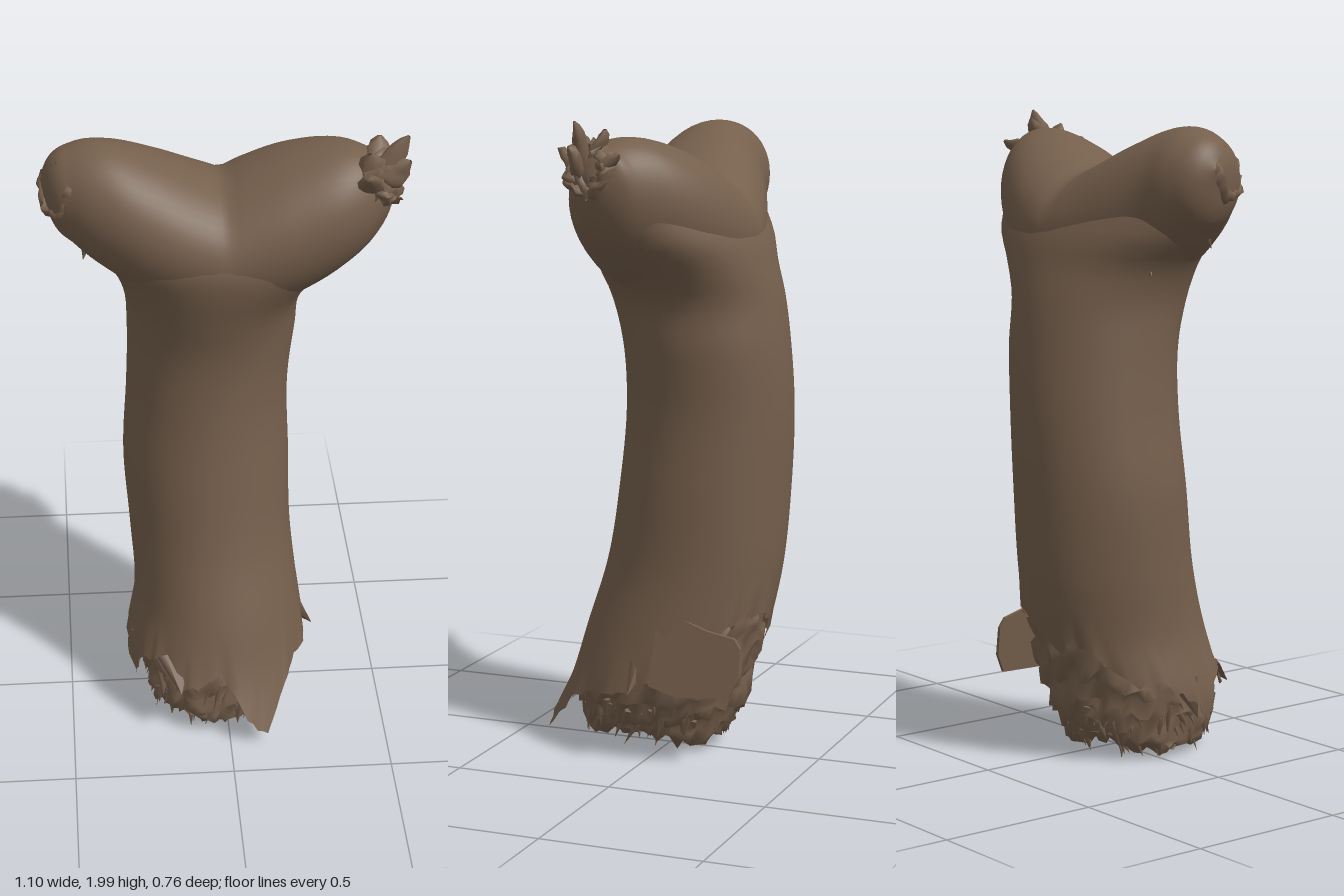
import * as THREE from 'three';
import { mergeGeometries } from 'three/addons/utils/BufferGeometryUtils.js';

const V = (x, y, z) => new THREE.Vector3(x, y, z);

function seeded(seed) {
  let s = seed;
  return () => ((s = (s * 16807) % 2147483647) / 2147483647);
}

// Smooth sampler for rows of [t, aMin, aMax, bMin, bMax]
function sampler(rows) {
  const f = new THREE.CubicInterpolant(rows.map(r => r[0]), rows.flatMap(r => r.slice(1)), 4, new Float32Array(4));
  return t => Array.from(f.evaluate(t));
}

// Closed rings joined into a skin; point(u, angle, i, j) gives each corner
function skin(rings, sides, point) {
  const pos = [], index = [];
  for (let i = 0; i <= rings; i++) {
    for (let j = 0; j < sides; j++) {
      pos.push(...point(i / rings, (j / sides) * Math.PI * 2, i, j).toArray());
      if (i === rings) continue;
      const a = i * sides + j, b = i * sides + (j + 1) % sides;
      index.push(a, a + sides, b, b, a + sides, b + sides);
    }
  }
  const g = new THREE.BufferGeometry();
  g.setAttribute('position', new THREE.Float32BufferAttribute(pos, 3));
  g.setIndex(index);
  g.computeVertexNormals();
  return g;
}

// Point on an ellipse bounded by [aMin, aMax, bMin, bMax]
function oval([a0, a1, b0, b1], angle, scale = 1) {
  return [(a0 + a1) / 2 + (a1 - a0) / 2 * scale * Math.cos(angle),
    (b0 + b1) / 2 + (b1 - b0) / 2 * scale * Math.sin(angle)];
}

// Turn a part built along +y so that it reaches from one point to another
function aim(g, from, to) {
  const dir = to.clone().sub(from).normalize();
  g.applyQuaternion(new THREE.Quaternion().setFromUnitVectors(V(0, 1, 0), dir));
  return g.translate(from.x, from.y, from.z);
}

// Pointed sliver
function sliver(from, to, width, depth) {
  const len = to.distanceTo(from);
  return aim(new THREE.ConeGeometry(1, 1, 5).translate(0, 0.5, 0).scale(width, len, depth), from, to);
}

export function createModel() {
  const group = new THREE.Group();
  const brown = new THREE.MeshStandardMaterial({ color: 0x755f4c, side: THREE.DoubleSide });
  const rand = seeded(71);
  const jitter = size => (rand() - 0.5) * size;
  const add = (name, geometry) => {
    const mesh = new THREE.Mesh(geometry, brown);
    mesh.name = name;
    group.add(mesh);
  };

  // Trunk: rows of y, x range, z range; the lower edge is torn
  const trunk = sampler([
    [0.03, -0.28, 0.25, -0.2, 0.42], [0.2, -0.31, 0.26, -0.25, 0.335], [0.4, -0.285, 0.24, -0.31, 0.27],
    [0.6, -0.295, 0.22, -0.35, 0.21], [0.85, -0.31, 0.215, -0.37, 0.17], [1.1, -0.295, 0.21, -0.38, 0.145],
    [1.3, -0.29, 0.23, -0.37, 0.15], [1.45, -0.3, 0.25, -0.35, 0.185], [1.55, -0.34, 0.33, -0.325, 0.212],
    [1.63, -0.41, 0.41, -0.3, 0.217], [1.72, -0.44, 0.44, -0.25, 0.175],
  ]);
  const torn = [0.24, 0.21, 0.23, 0.16, 0.045, 0.1, 0.26, 0.2, 0.19, 0.25, 0.23, 0.14,
    0.2, 0.26, 0.25, 0.33, 0.39, 0.36, 0.42, 0.46, 0.47, 0.42, 0.36, 0.27];
  const SIDES = 96;
  const nick = Array.from({ length: SIDES }, () => jitter(0.03));
  add('trunk', skin(48, SIDES, (u, angle, i, j) => {
    const k = j / SIDES * torn.length, n = Math.floor(k);
    const edge = THREE.MathUtils.lerp(torn[n], torn[(n + 1) % torn.length], k - n) + nick[j];
    const y = THREE.MathUtils.lerp(Math.max(edge, 0.035), 1.72, Math.pow(u, 1.2));
    const [x, z] = oval(trunk(y), angle, 1 + nick[j] * 2 * Math.max(0, 1 - u * 8));
    return V(x, y, z);
  }));

  // Forked top: rows of x, z range, y range
  const fork = sampler([
    [-0.537, -0.06, -0.03, 1.82, 1.85], [-0.515, -0.11, 0.04, 1.73, 1.9], [-0.44, -0.165, 0.115, 1.64, 1.95],
    [-0.34, -0.19, 0.165, 1.56, 1.96], [-0.2, -0.245, 0.2, 1.47, 1.915], [-0.05, -0.29, 0.213, 1.42, 1.848],
    [0, -0.295, 0.215, 1.42, 1.83], [0.05, -0.295, 0.215, 1.42, 1.855], [0.2, -0.265, 0.21, 1.46, 1.918],
    [0.36, -0.175, 0.18, 1.565, 1.945], [0.45, -0.085, 0.13, 1.66, 1.92], [0.49, -0.04, 0.1, 1.74, 1.9],
    [0.51, 0.02, 0.05, 1.81, 1.84],
  ]);
  add('forkedTop', skin(64, 48, (u, angle) => {
    const x = -0.0135 - 0.5235 * Math.cos(u * Math.PI);
    const [z, y] = oval(fork(x), angle);
    return V(x, y, z);
  }));

  // Rough inside showing below the torn edge, with an uneven hollow underside
  const core = sampler([
    [0.03, -0.235, 0.13, -0.15, 0.29], [0.1, -0.255, 0.17, -0.2, 0.305],
    [0.2, -0.275, 0.22, -0.24, 0.3], [0.4, -0.265, 0.225, -0.295, 0.25], [0.55, -0.27, 0.2, -0.325, 0.19],
  ]);
  add('roughCore', skin(22, 60, (u, angle, i) => {
    const under = i < 5, top = i === 22;
    const y = under ? 0.05 + 0.02 * (4 - i) : 0.045 + 0.505 * Math.pow((i - 4) / 18, 1.3);
    const scale = (under ? i / 4 * 0.93 + 0.01 : 1) * (top ? 1 : 1 + (rand() - 0.65) * 0.15);
    const [x, z] = oval(core(under ? 0.04 : y), angle, scale);
    const sag = under || i < 8 ? 0.03 * Math.sin(angle * 3 + 1) + 0.05 * x : 0;
    return V(x, Math.max(0.012, y + sag * 0.6 + (top ? 0 : jitter(0.045))), z);
  }));

  // Slivers hanging from the core
  const slivers = [];
  for (let i = 0; i < 90; i++) {
    const angle = rand() * Math.PI * 2, high = 0.09 + rand() * 0.14;
    const low = Math.max(0.03, high - 0.05 - rand() * 0.06);
    const [x, z] = oval(core(high), angle, 0.75 + rand() * 0.22);
    const [x2, z2] = oval(core(low), angle + jitter(0.3), 1.02);
    slivers.push(sliver(V(x, high, z), V(x2, low - rand() * 0.025, z2), 0.014 + rand() * 0.014, 0.014));
  }
  add('hangingSlivers', mergeGeometries(slivers));

  // Loose flap on the left side, near the back
  const outline = [[0.05, 0.5], [0.14, 0.465], [0.2, 0.44], [0.29, 0.42], [0.31, 0.39], [0.31, 0.3],
    [0.28, 0.24], [0.12, 0.23], [0.03, 0.26]];
  const flap = new THREE.ExtrudeGeometry(new THREE.Shape(outline.map(p => new THREE.Vector2(...p))),
    { depth: 0.012, bevelEnabled: false }).rotateY(Math.PI / 2);
  const fp = flap.attributes.position;
  for (let i = 0; i < fp.count; i++) {
    fp.setX(i, fp.getX(i) + 0.215 + 0.14 * (fp.getZ(i) + 0.05) + 0.13 * (0.5 - fp.getY(i)));
  }
  flap.computeVertexNormals();
  add('looseFlap', flap);

  // Ragged hollow sockets at the ends of both branches: radius and height from rim skirt to centre
  const lip = [[1, -0.3], [1, -0.1], [0.96, 0.08], [0.88, 0.2], [0.76, 0.22], [0.66, 0.1], [0.56, -0.05],
    [0.46, -0.12], [0.36, -0.05], [0.26, 0.04], [0.12, 0], [0.01, -0.05]];
  const socket = (size, rough, facing, center) => {
    const g = skin(lip.length - 1, 30, (u, angle, i, j) => {
      const r = size * lip[i][0] * (1 + 0.07 * Math.sin(j * 1.05) + jitter(rough));
      return V(r * Math.cos(angle), r * Math.sin(angle), size * (lip[i][1] + jitter(rough * 1.5)));
    });
    g.applyQuaternion(new THREE.Quaternion().setFromUnitVectors(V(0, 0, 1), facing.normalize()));
    return g.translate(...center.toArray());
  };
  add('rightSocket', socket(0.09, 0.12, V(-0.84, 0.25, 0.48), V(-0.488, 1.83, 0.02)));
  add('leftSocket', socket(0.085, 0.25, V(0.8, 0.3, 0.4), V(0.475, 1.855, 0.065)));

  // Curled shreds around the left socket: tip, width
  const tips = [[0.535, 1.995, 0.095, 0.04], [0.46, 1.975, 0.03, 0.045], [0.41, 1.9, 0.195, 0.04],
    [0.52, 1.91, -0.04, 0.035], [0.54, 1.92, 0.11, 0.045], [0.505, 1.77, 0.07, 0.045],
    [0.42, 1.95, 0.12, 0.045], [0.47, 1.82, 0.15, 0.04]];
  add('curledShreds', mergeGeometries(tips.map(([x, y, z, w]) => {
    const from = V(0.44, 1.84, 0.06), to = V(x, y, z), len = to.distanceTo(from);
    const g = skin(8, 9, (u, angle) => {
      const r = w * Math.pow(Math.sin(Math.PI * Math.min(0.99, 0.15 + u * 0.84)), 0.6) * (1 + jitter(0.45));
      return V(r * Math.cos(angle), len * u, r * 0.6 * Math.sin(angle) + 0.012 * Math.sin(u * 5));
    });
    return aim(g, from, to);
  })));

  // Small splinters under the right branch and along the torn edge
  add('splinters', mergeGeometries([
    sliver(V(-0.27, 1.56, -0.1), V(-0.335, 1.52, -0.13), 0.03, 0.02),
    sliver(V(-0.4, 1.68, 0), V(-0.42, 1.6, 0.03), 0.03, 0.03),
    sliver(V(0.22, 0.31, 0.02), V(0.29, 0.23, 0.03), 0.04, 0.02),
    sliver(V(-0.27, 0.26, 0.06), V(-0.285, 0.13, 0.1), 0.02, 0.05),
    sliver(V(-0.17, 0.27, 0.23), V(-0.155, 0.19, 0.335), 0.06, 0.015),
  ]));

  return group;
}
